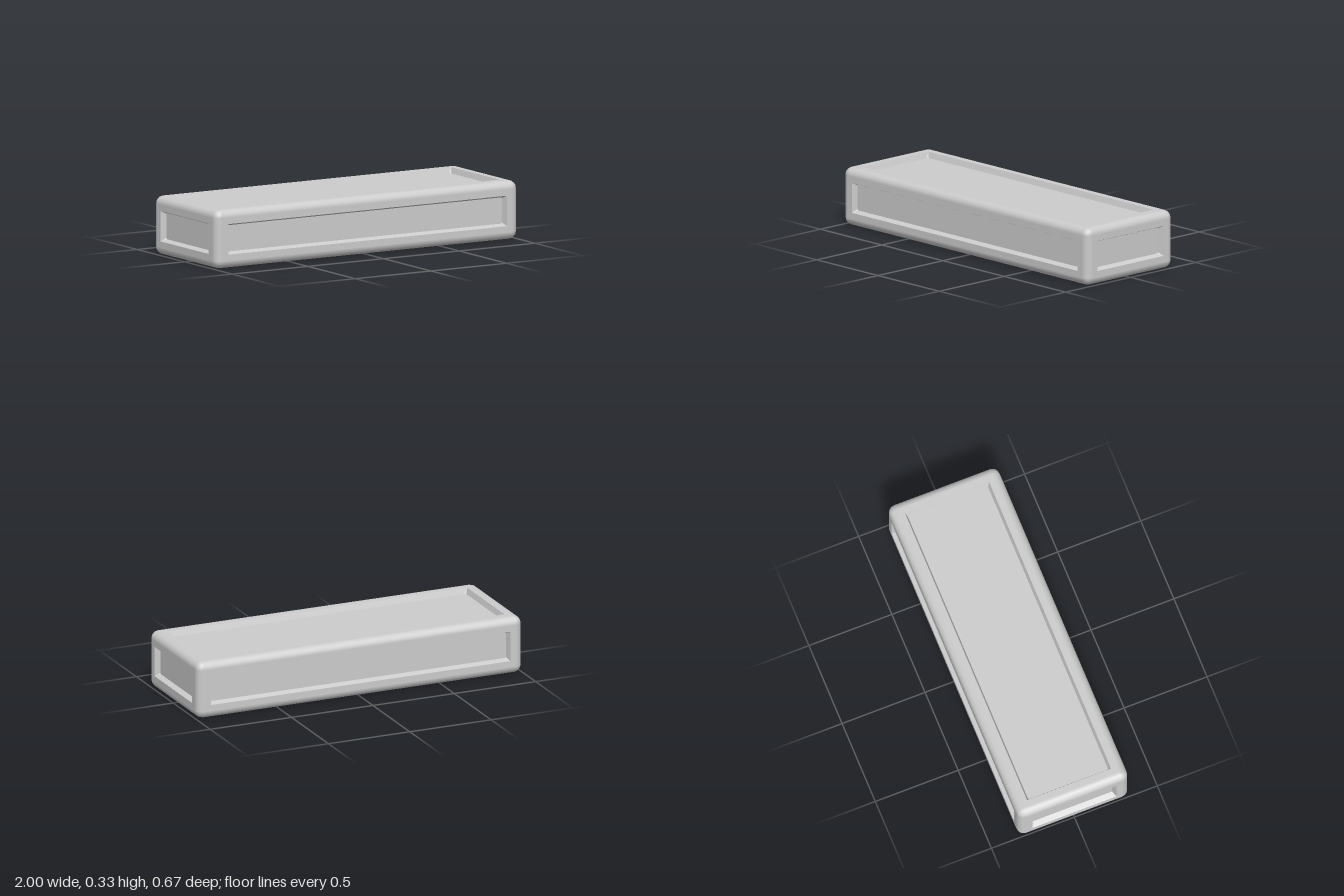
import * as THREE from 'three';
import { RoundedBoxGeometry } from 'three/addons/geometries/RoundedBoxGeometry.js';

const W = 2, H = 0.333, D = 0.666;      // overall size
const R = 0.045;                        // edge rounding
const OPENING = 0.08, FLOOR = 0.092;    // insets of the recess rim and floor
const DEPTH = 0.032;                    // recess depth

// Counter-clockwise rectangle with rounded corners
function rectLoop(hw, hh, r) {
  const points = [];
  const corners = [[1, 1], [-1, 1], [-1, -1], [1, -1]];
  corners.forEach(([sx, sy], i) => {
    for (let k = 0; k <= 4; k++) {
      const a = (i + k / 4) * Math.PI / 2;
      points.push(new THREE.Vector2(
        sx * (hw - r) + Math.cos(a) * r, sy * (hh - r) + Math.sin(a) * r));
    }
  });
  return points;
}

// Rounded box without its six flat faces
function roundedEdges() {
  const box = new RoundedBoxGeometry(W, H, D, 2, R);
  const source = box.index ? box.toNonIndexed() : box;
  const p = source.attributes.position, n = source.attributes.normal;
  const positions = [], normals = [];
  const isFlat = (i) =>
    Math.max(Math.abs(n.getX(i)), Math.abs(n.getY(i)), Math.abs(n.getZ(i))) > 0.9999;
  for (let i = 0; i < p.count; i += 3) {
    if (isFlat(i) && isFlat(i + 1) && isFlat(i + 2)) continue;
    for (let j = i; j < i + 3; j++) {
      positions.push(p.getX(j), p.getY(j), p.getZ(j));
      normals.push(n.getX(j), n.getY(j), n.getZ(j));
    }
  }
  const geometry = new THREE.BufferGeometry();
  geometry.setAttribute('position', new THREE.Float32BufferAttribute(positions, 3));
  geometry.setAttribute('normal', new THREE.Float32BufferAttribute(normals, 3));
  return geometry;
}

// Sloping walls joining the rim to the recess floor
function recessWalls(rim, floor) {
  const positions = [];
  rim.forEach((a, i) => {
    const j = (i + 1) % rim.length;
    const b = rim[j], c = floor[j], d = floor[i];
    positions.push(a.x, a.y, 0, b.x, b.y, 0, c.x, c.y, -DEPTH);
    positions.push(a.x, a.y, 0, c.x, c.y, -DEPTH, d.x, d.y, -DEPTH);
  });
  const geometry = new THREE.BufferGeometry();
  geometry.setAttribute('position', new THREE.Float32BufferAttribute(positions, 3));
  geometry.computeVertexNormals();
  return geometry;
}

// One side: flat frame, recess walls and recessed panel, facing +z
function recessedSide(name, w, h, material) {
  const side = new THREE.Group();
  side.name = name;
  const rim = rectLoop(w / 2 - OPENING, h / 2 - OPENING, 0.001);
  const floor = rectLoop(w / 2 - FLOOR, h / 2 - FLOOR, 0.008);
  const x = w / 2 - R, y = h / 2 - R;
  const frameShape = new THREE.Shape([
    new THREE.Vector2(-x, -y), new THREE.Vector2(x, -y),
    new THREE.Vector2(x, y), new THREE.Vector2(-x, y)]);
  frameShape.holes.push(new THREE.Path(rim.slice().reverse()));

  const add = (part, geometry, z = 0) => {
    const mesh = new THREE.Mesh(geometry, material);
    mesh.name = part;
    mesh.position.z = z;
    side.add(mesh);
  };
  add('frame', new THREE.ShapeGeometry(frameShape));
  add('recessWalls', recessWalls(rim, floor));
  add('panel', new THREE.ShapeGeometry(new THREE.Shape(floor)), -DEPTH);
  return side;
}

export function createModel() {
  const model = new THREE.Group();
  model.name = 'panelledBlock';
  const grey = new THREE.MeshStandardMaterial({ color: 0xcccccc });
  grey.name = 'lightGrey';

  const block = new THREE.Group();
  block.name = 'block';
  block.position.y = 0.003 + H / 2;
  model.add(block);

  const edges = new THREE.Mesh(roundedEdges(), grey);
  edges.name = 'roundedEdges';
  block.add(edges);

  // name, width, height, distance from centre, turn about x, turn about y
  const q = Math.PI / 2;
  const sides = [
    ['frontSide', W, H, D / 2, 0, 0],
    ['backSide', W, H, D / 2, 0, Math.PI],
    ['leftSide', D, H, W / 2, 0, q],
    ['rightSide', D, H, W / 2, 0, -q],
    ['topSide', W, D, H / 2, -q, 0],
    ['bottomSide', W, D, H / 2, q, 0],
  ];
  for (const [name, w, h, distance, rx, ry] of sides) {
    const side = recessedSide(name, w, h, grey);
    side.rotation.set(rx, ry, 0);
    side.translateZ(distance);
    block.add(side);
  }
  return model;
}
